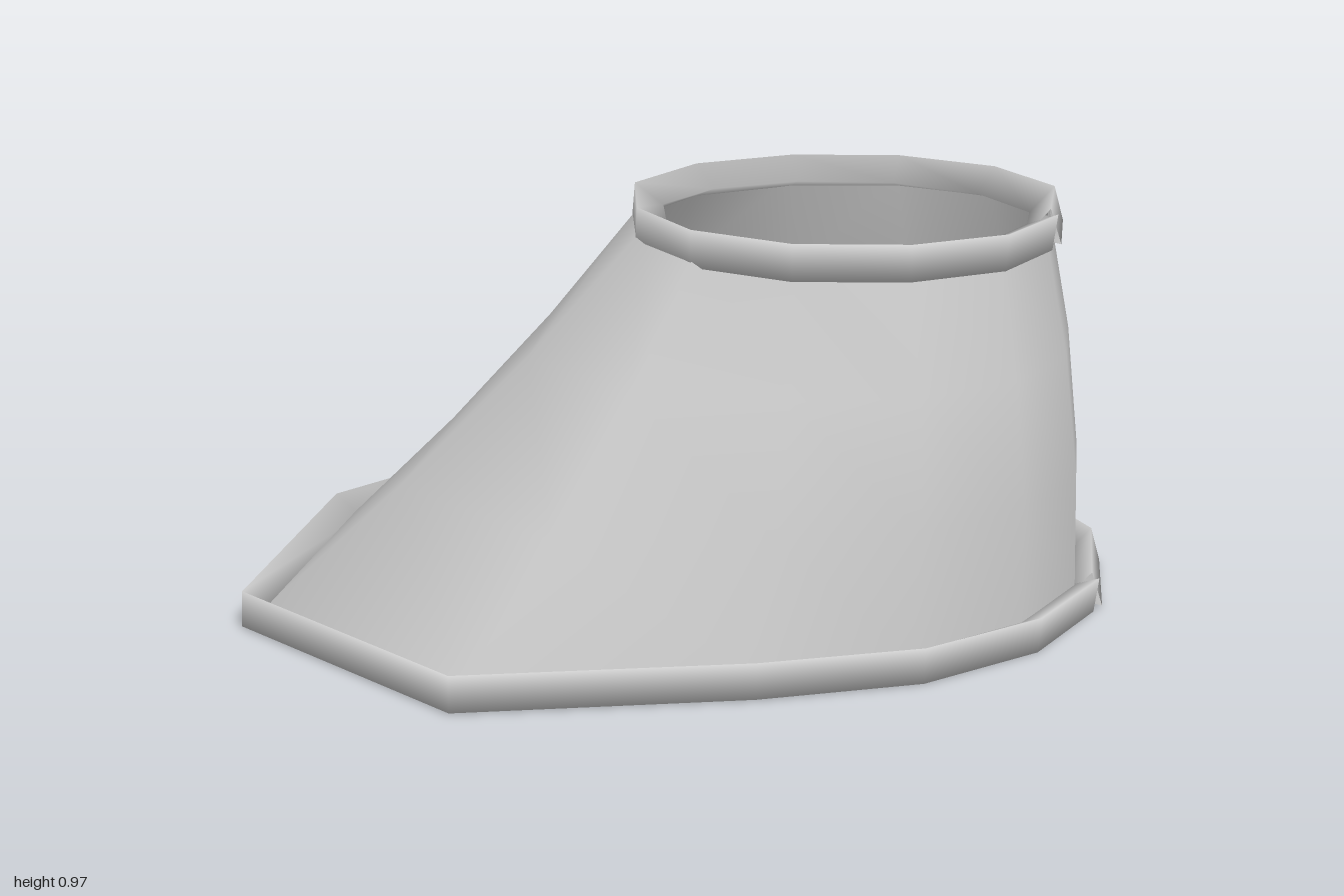
import * as THREE from 'three';

const material = new THREE.MeshStandardMaterial({ color: 0xcccccc, side: THREE.DoubleSide });

// Rim outlines as [x, z], starting at the seam on the +x side and running round the back
const baseOutline = [
  [0.96, -0.12], [0.9, -0.44], [0.69, -0.69], [0.36, -0.835], [-0.1, -0.92], [-0.68, -0.72],
  [-0.97, -0.13], [-0.88, 0.585], [-0.24, 0.915], [0.36, 0.64], [0.685, 0.44], [0.885, 0.18],
];
const topOutline = [
  [0.83, -0.12], [0.79, -0.37], [0.61, -0.55], [0.36, -0.61], [0.11, -0.54], [-0.08, -0.37],
  [-0.15, -0.125], [-0.06, 0.12], [0.12, 0.29], [0.36, 0.345], [0.6, 0.27], [0.77, 0.11],
];
const BASE_Y = 0.047;
const TOP_Y = 0.92;

// Skins a list of equal-length cross-sections; wrapping closes each section on itself
function loft(name, sections) {
  const n = sections[0].length;
  const index = [];
  for (let i = 0; i < sections.length - 1; i++) {
    for (let j = 0; j < n; j++) {
      const a = i * n + j, b = i * n + (j + 1) % n;
      index.push(a, a + n, b, b, a + n, b + n);
    }
  }
  const geometry = new THREE.BufferGeometry().setFromPoints(sections.flat());
  geometry.setIndex(index);
  geometry.computeVertexNormals();
  const mesh = new THREE.Mesh(geometry, material);
  mesh.name = name;
  return mesh;
}

// Three-sided bead swept round an outline, split at the seam and rolling slowly on the way
function rim(name, outline, y) {
  const path = [...outline, outline[0]];
  const last = path.length - 1;
  const radius = 0.05;
  const sections = path.map(([x, z], i) => {
    const p = path[Math.max(i - 1, 0)], q = path[Math.min(i + 1, last)];
    const out = new THREE.Vector2(p[1] - q[1], q[0] - p[0]).normalize();
    const roll = THREE.MathUtils.degToRad(THREE.MathUtils.lerp(18, -8, i / last));
    return [60, 180, 300].map((deg) => {
      const a = THREE.MathUtils.degToRad(deg) + roll;
      const r = radius * Math.cos(a);
      return new THREE.Vector3(x + out.x * r, y + radius * Math.sin(a), z + out.y * r);
    });
  });
  return loft(name, sections);
}

// Leaning funnel wall between the two rims, its centre line bowed slightly
function wall() {
  const steps = 3;
  const sections = [];
  for (let s = 0; s <= steps; s++) {
    const t = s / steps;
    const bow = 4 * t * (1 - t);
    sections.push(baseOutline.map(([x, z], i) => {
      const [tx, tz] = topOutline[i];
      return new THREE.Vector3(
        THREE.MathUtils.lerp(x * 0.97, tx, t) + 0.035 * bow,
        THREE.MathUtils.lerp(BASE_Y, TOP_Y, t),
        THREE.MathUtils.lerp(z * 0.97, tz, t) + 0.03 * bow,
      );
    }));
  }
  return loft('funnelWall', sections);
}

export function createModel() {
  const group = new THREE.Group();
  group.name = 'skewedFunnel';
  group.add(
    wall(),
    rim('baseRim', baseOutline, BASE_Y),
    rim('topRim', topOutline, TOP_Y),
  );
  return group;
}
